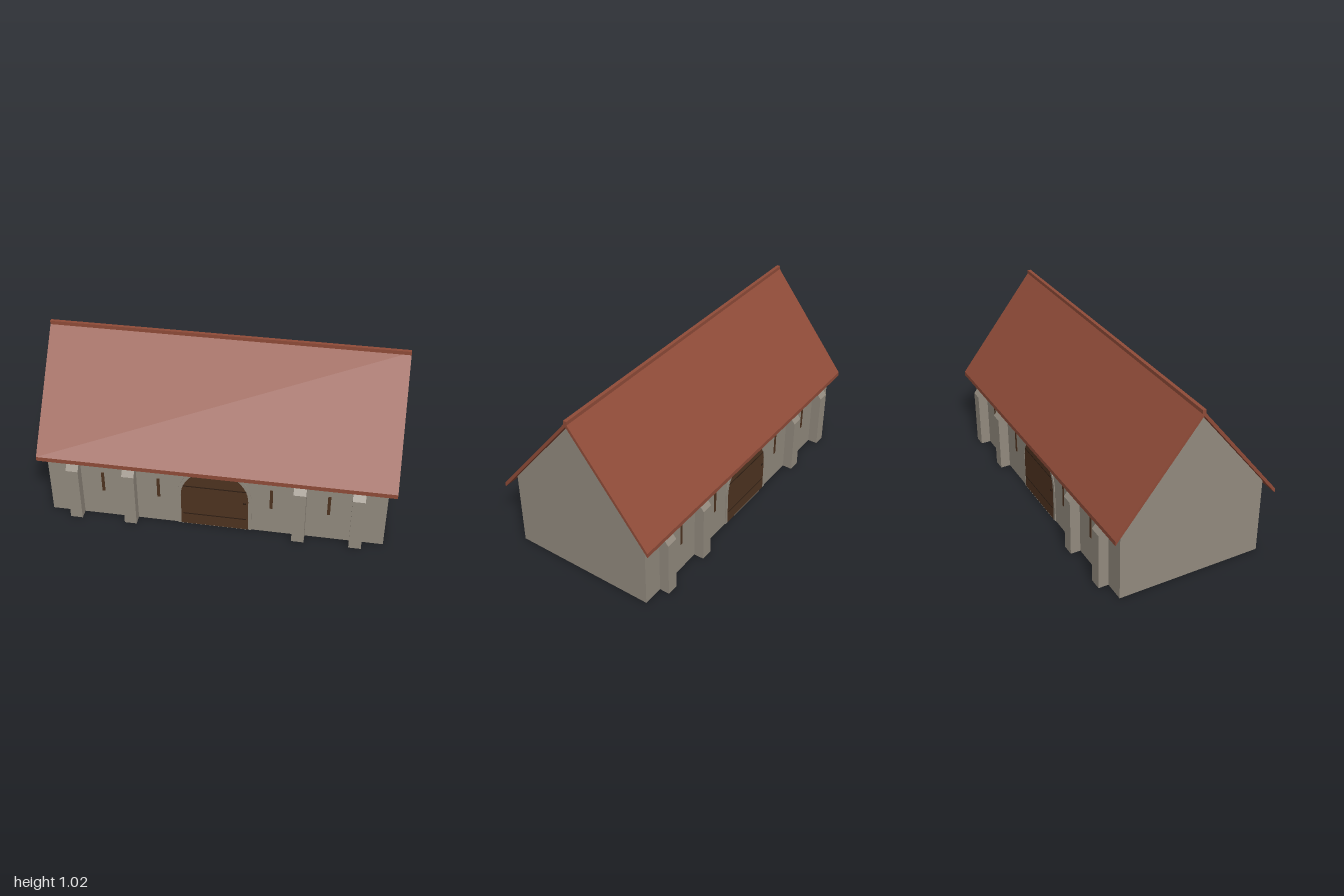
import * as THREE from 'three';

const mat = (name, color) => {
  const m = new THREE.MeshStandardMaterial({ color });
  m.name = name;
  return m;
};

export function createModel() {
  const stone = mat('stone', 0x928a7e);
  const tile = mat('roof tile', 0x8f4b38);
  const wood = mat('dark wood', 0x4e3320);
  const iron = mat('dark iron', 0x2e1e13);

  const barn = new THREE.Group();
  barn.name = 'barn';

  const add = (parent, name, geometry, material, x = 0, y = 0, z = 0) => {
    const mesh = new THREE.Mesh(geometry, material);
    mesh.name = name;
    mesh.position.set(x, y, z);
    parent.add(mesh);
    return mesh;
  };
  const box = (w, h, d) => new THREE.BoxGeometry(w, h, d);

  // Extrudes a [z, y] cross-section along x, centred on x = 0
  const alongX = (points, length) => {
    const shape = new THREE.Shape(points.map(([z, y]) => new THREE.Vector2(-z, y)));
    const g = new THREE.ExtrudeGeometry(shape, { depth: length, bevelEnabled: false });
    g.translate(0, 0, -length / 2);
    g.rotateY(Math.PI / 2);
    return g;
  };

  // Upright sides topped by a half circle
  const arch = (r, spring, PathType = THREE.Shape) => {
    const p = new PathType();
    p.moveTo(-r, 0);
    p.lineTo(r, 0);
    p.lineTo(r, spring);
    p.absarc(0, spring, r, 0, Math.PI, false);
    p.lineTo(-r, 0);
    return p;
  };
  const extrude = (shape, depth) =>
    new THREE.ExtrudeGeometry(shape, { depth, bevelEnabled: false, curveSegments: 12 });

  // Walls with gables
  add(barn, 'walls', alongX([
    [-0.425, 0], [0.425, 0], [0.425, 0.45], [0, 0.98], [-0.425, 0.45],
  ], 1.91), stone);

  // Roof slopes and ridge
  for (const s of [1, -1]) {
    add(barn, s > 0 ? 'frontRoof' : 'backRoof', alongX([
      [0, 0.982], [s * 0.477, 0.385], [s * 0.477, 0.411], [0, 1.008],
    ], 2), tile);
  }
  add(barn, 'ridge', box(2, 0.025, 0.02), tile, 0, 1.004, 0);

  // Both long sides carry the same details
  const buttress = alongX([[0.42, 0], [0.483, 0], [0.483, 0.337], [0.42, 0.415]], 0.07);
  const surroundShape = arch(0.21, 0.21);
  // Jambs and arch ring around the door
  surroundShape.holes.push(arch(0.192, 0.205, THREE.Path));
  const surround = extrude(surroundShape, 0.01);
  const door = extrude(arch(0.193, 0.205), 0.009);

  for (const side of ['front', 'back']) {
    const wall = new THREE.Group();
    wall.name = side + 'Details';
    if (side === 'back') wall.rotation.y = Math.PI;
    barn.add(wall);

    for (const s of [1, -1]) {
      for (const x of [0.48, 0.8]) add(wall, 'buttress', buttress, stone, s * x);
      for (const x of [0.32, 0.64]) {
        add(wall, 'slitWindow', box(0.017, 0.13, 0.008), wood, s * x, 0.24, 0.424);
      }
    }

    add(wall, 'doorSurround', surround, stone, 0, 0, 0.42);
    add(wall, 'door', door, wood, 0, 0, 0.42);
    for (const y of [0.075, 0.275]) {
      add(wall, 'doorBand', box(0.36, 0.006, 0.006), iron, 0, y, 0.428);
    }
    add(wall, 'doorHandle', box(0.016, 0.01, 0.008), iron, 0.17, 0.19, 0.429);
  }

  return barn;
}
